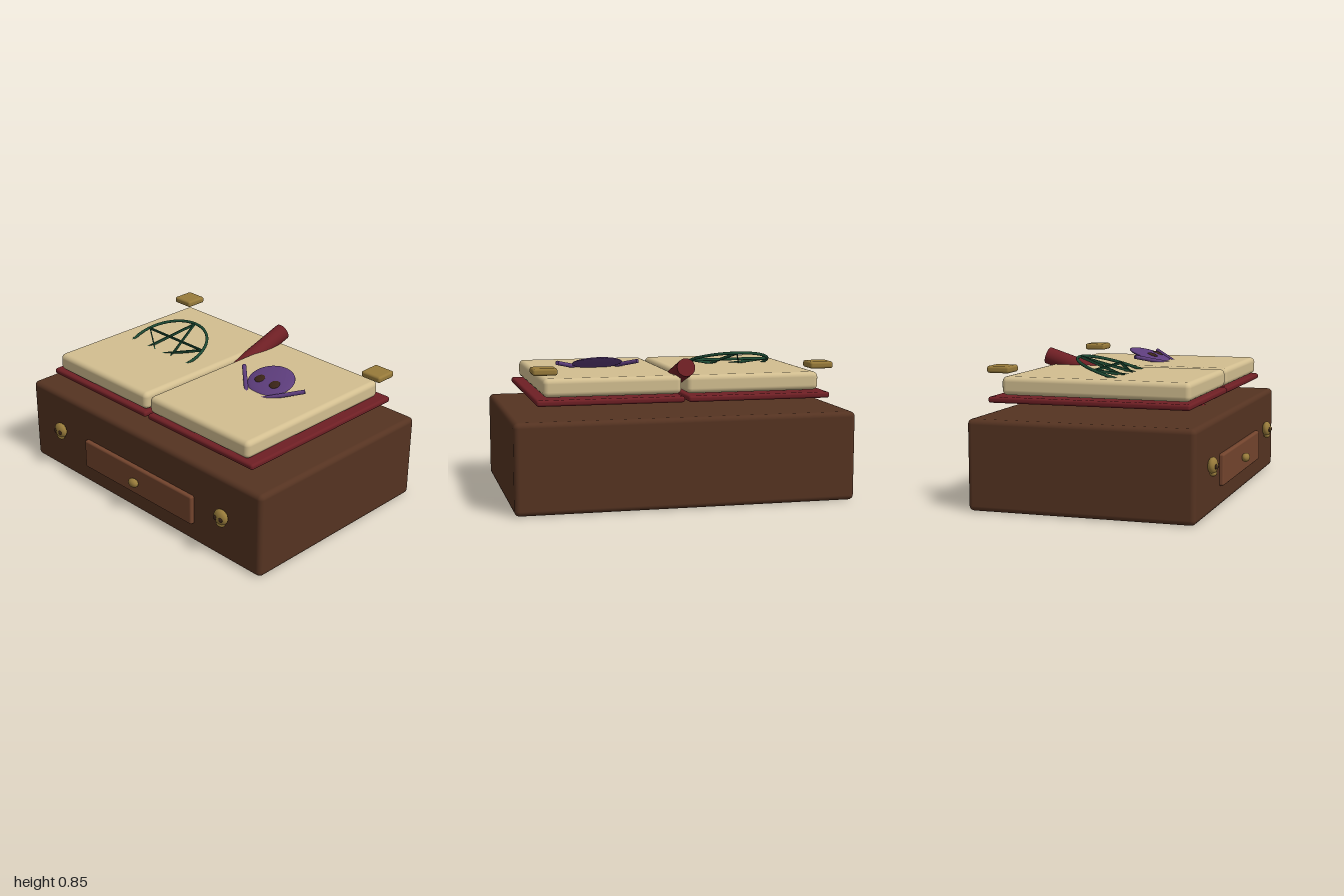
import * as THREE from 'three';
import { RoundedBoxGeometry } from 'three/addons/geometries/RoundedBoxGeometry.js';

const material = (name, color) => {
  const m = new THREE.MeshStandardMaterial({ color });
  m.name = name;
  return m;
};

export function createModel() {
  const model = new THREE.Group();
  model.name = 'spellBookOnChest';
  const wood = material('dark wood', 0x553321);
  const drawerWood = material('drawer wood', 0x73442d);
  const paper = material('parchment', 0xd2be90);
  const red = material('red leather', 0x6e1f24);
  const gold = material('old gold', 0x977a3a);
  const green = material('dark green', 0x1d4a33);
  const purple = material('purple', 0x5d3d7c);
  const dark = material('eye brown', 0x3a2418);

  const add = (parent, name, geometry, mat, x = 0, y = 0, z = 0) => {
    const mesh = new THREE.Mesh(geometry, mat);
    mesh.name = name;
    mesh.position.set(x, y, z);
    parent.add(mesh);
    return mesh;
  };
  const rounded = (w, h, d, r) => new RoundedBoxGeometry(w, h, d, 3, r);
  const ellipsoid = (rx, ry, rz) => new THREE.SphereGeometry(1, 28, 20).scale(rx, ry, rz);
  const group = (name, x, y, z, tilt = 0) => {
    const g = new THREE.Group();
    g.name = name;
    g.position.set(x, y, z);
    g.rotation.x = tilt;
    model.add(g);
    return g;
  };

  // Chest with a drawer
  add(model, 'chest', rounded(2, 0.525, 1.33, 0.03), wood, 0, 0.2625, -0.035);
  add(model, 'drawer', rounded(0.95, 0.185, 0.04, 0.012), drawerWood, 0, 0.217, 0.636);
  add(model, 'drawerKnob', ellipsoid(0.037, 0.027, 0.024), gold, 0, 0.215, 0.676);

  // Both halves of the open book, corner pieces and chest skulls
  for (const s of [-1, 1]) {
    add(model, 'cover', rounded(0.85, 0.035, 1.19, 0.014), red, s * 0.436, 0.62, -0.035);
    add(model, 'pages', rounded(0.8, 0.107, 1.115, 0.03), paper, s * 0.414, 0.696, -0.01);
    add(model, 'cornerPiece', rounded(0.14, 0.04, 0.138, 0.014), gold, s * 0.81, 0.795, -0.558);

    const skull = group('chestSkull', s * 0.715, 0.287, 0.652);
    add(skull, 'skullHead', ellipsoid(0.05, 0.048, 0.028), gold);
    add(skull, 'skullJaw', ellipsoid(0.03, 0.018, 0.02), gold, 0, -0.043, 0.002);
    for (const e of [-1, 1])
      add(skull, 'skullEye', ellipsoid(0.014, 0.015, 0.008), dark, e * 0.02, -0.003, 0.023);
  }

  // Slanted spine
  const spine = add(model, 'spine', new THREE.CylinderGeometry(0.053, 0.053, 1.19, 24), red, 0, 0.618, -0.035);
  spine.rotation.x = -1.26;

  // Ringed star, tilted and half sunk into the left page
  const star = group('ringedStar', -0.415, 0.762, 0.013, -1.27);
  add(star, 'ring', new THREE.TorusGeometry(0.258, 0.009, 10, 64), green);
  const tip = (k) => {
    const a = Math.PI / 2 + (k * Math.PI * 2) / 5;
    return new THREE.Vector2(Math.cos(a), Math.sin(a)).multiplyScalar(0.25);
  };
  for (let k = 0; k < 5; k++) {
    const a = tip(k), b = tip(k + 2);
    const bar = add(star, 'starBar', new THREE.BoxGeometry(a.distanceTo(b), 0.007, 0.016), green,
      (a.x + b.x) / 2, (a.y + b.y) / 2, 0);
    bar.rotation.z = Math.atan2(b.y - a.y, b.x - a.x);
  }

  // Skull and crossed bones, tilted and partly sunk into the right page
  const emblem = group('skullEmblem', 0.415, 0.782, -0.06, -1.27);
  add(emblem, 'emblemHead', ellipsoid(0.152, 0.134, 0.02), purple);
  for (const s of [-1, 1]) {
    add(emblem, 'emblemEye', ellipsoid(0.033, 0.034, 0.011), dark, s * 0.058, -0.03, 0.015);
    const bone = add(emblem, 'bone', new THREE.CylinderGeometry(0.013, 0.013, 0.68, 14), purple, 0, -0.21, 0);
    bone.rotation.z = s * 0.81;
  }

  return model;
}
